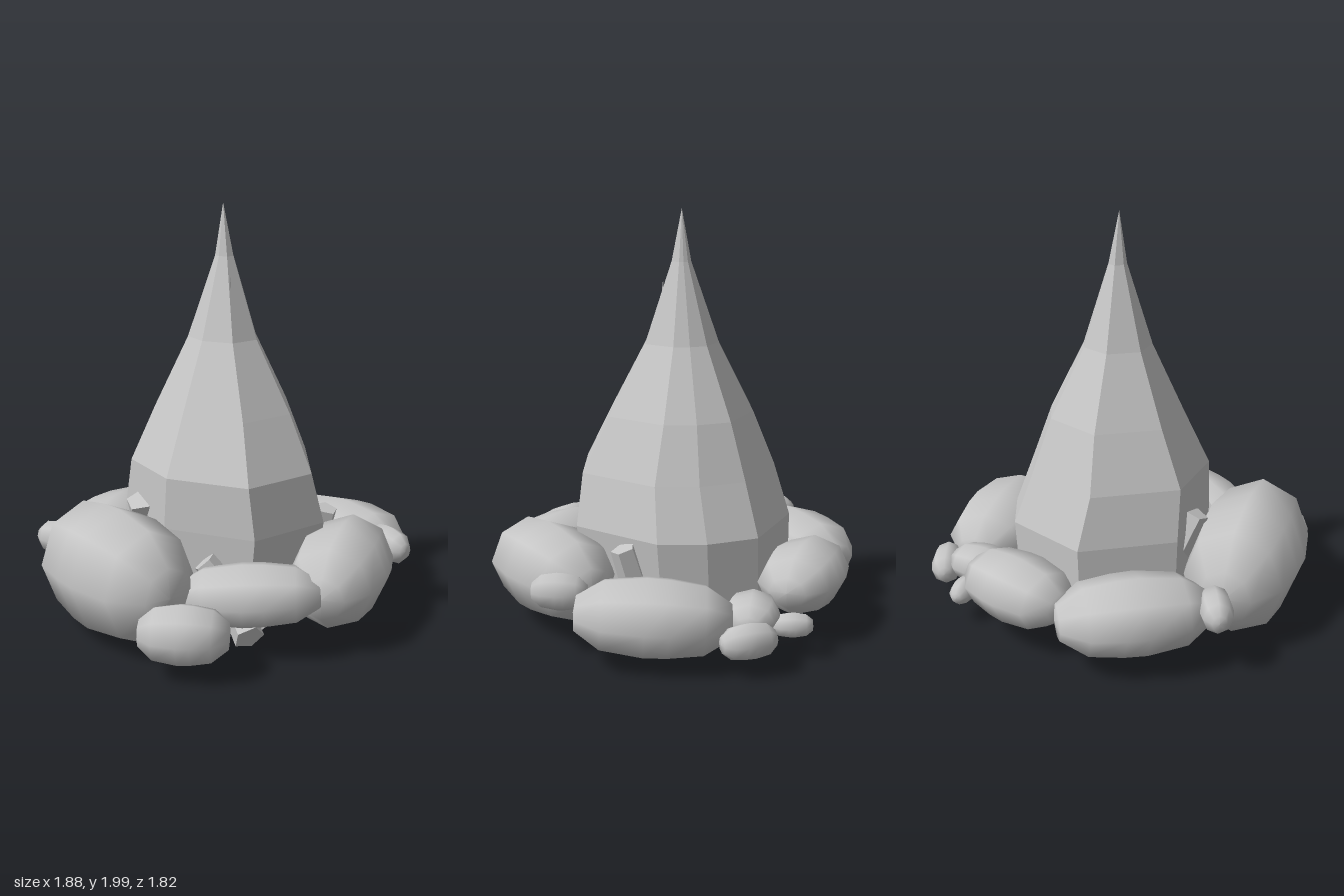
import * as THREE from 'three';

const stoneGrey = new THREE.MeshStandardMaterial({ color: 0xc6c6c6 });
stoneGrey.name = 'grey';

// Blunt eight-sided pebble along x, reused for every stone
function pebbleGeometry() {
  const profile = [[0, -1], [0.45, -0.97], [0.87, -0.64], [1, -0.1], [0.98, 0.2], [0.87, 0.64], [0.45, 0.97], [0, 1]];
  const geo = new THREE.LatheGeometry(profile.map(([r, y]) => new THREE.Vector2(r, y)), 8);
  geo.rotateZ(-Math.PI / 2);
  return geo;
}

// Flame: faceted rings of one irregular outline, closed by a tip and a flat base
function flameGeometry() {
  const outline = [[0.01, -0.56], [0.41, -0.38], [0.505, -0.14], [0.505, 0.09],
    [0.22, 0.48], [-0.2, 0.48], [-0.44, 0.09], [-0.4, -0.31]];
  // height, scale, x shift, z shift
  const rings = [[0.14, 0.96, -0.01, -0.02], [0.5, 1, 0, 0], [0.75, 0.9, -0.035, 0.02],
    [1.02, 0.67, -0.015, 0], [1.36, 0.34, -0.01, -0.015], [1.75, 0.09, 0, -0.02], [2, 0, -0.005, -0.025]];
  const point = (j, i) => {
    const [y, s, dx, dz] = rings[j];
    const [x, z] = outline[i % outline.length];
    return [x * s + dx, y, z * s + dz];
  };
  const pos = [];
  for (let i = 0; i < outline.length; i++) {
    pos.push(0, rings[0][0], 0, ...point(0, i), ...point(0, i + 1));
    for (let j = 0; j < rings.length - 1; j++) {
      const a = point(j, i), b = point(j, i + 1), c = point(j + 1, i + 1), d = point(j + 1, i);
      pos.push(...a, ...c, ...b);
      if (j < rings.length - 2) pos.push(...a, ...d, ...c);
    }
  }
  const geo = new THREE.BufferGeometry();
  geo.setAttribute('position', new THREE.Float32BufferAttribute(pos, 3));
  geo.computeVertexNormals();
  return geo;
}

// Flat-sided log between two points
function log(from, to, radius) {
  const a = new THREE.Vector3(...from), b = new THREE.Vector3(...to);
  const geo = new THREE.CylinderGeometry(radius * 0.85, radius, a.distanceTo(b), 5).toNonIndexed();
  geo.computeVertexNormals();
  const mesh = new THREE.Mesh(geo, stoneGrey);
  mesh.position.copy(a).lerp(b, 0.5);
  mesh.quaternion.setFromUnitVectors(new THREE.Vector3(0, 1, 0), b.sub(a).normalize());
  return mesh;
}

export function createModel() {
  const group = new THREE.Group();

  const flame = new THREE.Mesh(flameGeometry(), stoneGrey);
  flame.name = 'flame';
  group.add(flame);

  // Small lick near the tip
  const lick = new THREE.Mesh(new THREE.ConeGeometry(0.015, 0.14, 4), stoneGrey);
  lick.name = 'flameLick';
  lick.position.set(-0.03, 1.59, 0.065);
  group.add(lick);

  // Ring of stones: name, centre, half length / height / width, yaw, tilt
  const pebble = pebbleGeometry();
  const H = Math.PI / 2;
  const stones = [
    ['leftBoulder', [-0.665, 0.32, 0.02], [0.45, 0.315, 0.28], H, -0.03],
    ['rightStone', [0.7, 0.228, 0.105], [0.36, 0.18, 0.24], H, -0.06],
    ['frontRightStone', [0.23, 0.295, 0.6], [0.38, 0.225, 0.235], 0.6, 0],
    ['frontLeftStone', [-0.29, 0.29, 0.56], [0.33, 0.145, 0.195], -0.7, 0.05],
    ['backLeftStone', [-0.28, 0.26, -0.61], [0.365, 0.18, 0.24], 0.55, 0],
    ['backRightStone', [0.295, 0.285, -0.61], [0.29, 0.16, 0.2], -0.38, 0],
    ['frontLeftPebble', [-0.675, 0.21, 0.585], [0.205, 0.14, 0.145], -0.75, 0],
    ['frontRightPebble', [0.615, 0.315, 0.53], [0.13, 0.09, 0.075], H - 0.1, 0],
    ['backLeftPebble', [-0.655, 0.31, -0.525], [0.13, 0.09, 0.08], -H + 0.4, 0],
    ['backRightPebble', [0.62, 0.21, -0.34], [0.16, 0.095, 0.13], -0.15, 0],
    ['backOuterPebble', [0.83, 0.165, -0.315], [0.13, 0.085, 0.08], -H + 0.35, 0],
    ['backSmallPebble', [0.63, 0.16, -0.525], [0.095, 0.06, 0.06], -H, 0],
  ];
  for (const [name, centre, size, yaw, tilt] of stones) {
    const stone = new THREE.Mesh(pebble, stoneGrey);
    stone.name = name;
    stone.position.set(...centre);
    stone.scale.set(...size);
    stone.rotation.set(0, yaw, tilt);
    group.add(stone);
  }

  // Logs poking out around the foot of the flame
  const logs = [
    [[-0.3, 0.08, 0.57], [-0.2, 0.3, 0.18], 0.075],
    [[-0.18, 0.07, 0.5], [-0.36, 0.38, 0.3], 0.07],
    [[0.39, 0.12, -0.24], [0.1, 0.3, -0.1], 0.1],
    [[0.41, 0.11, 0.15], [0.44, 0.46, 0.25], 0.07],
    [[-0.24, 0.12, -0.24], [-0.43, 0.58, -0.13], 0.085],
  ];
  logs.forEach(([from, to, radius], i) => {
    const mesh = log(from, to, radius);
    mesh.name = 'log' + (i + 1);
    group.add(mesh);
  });

  return group;
}
